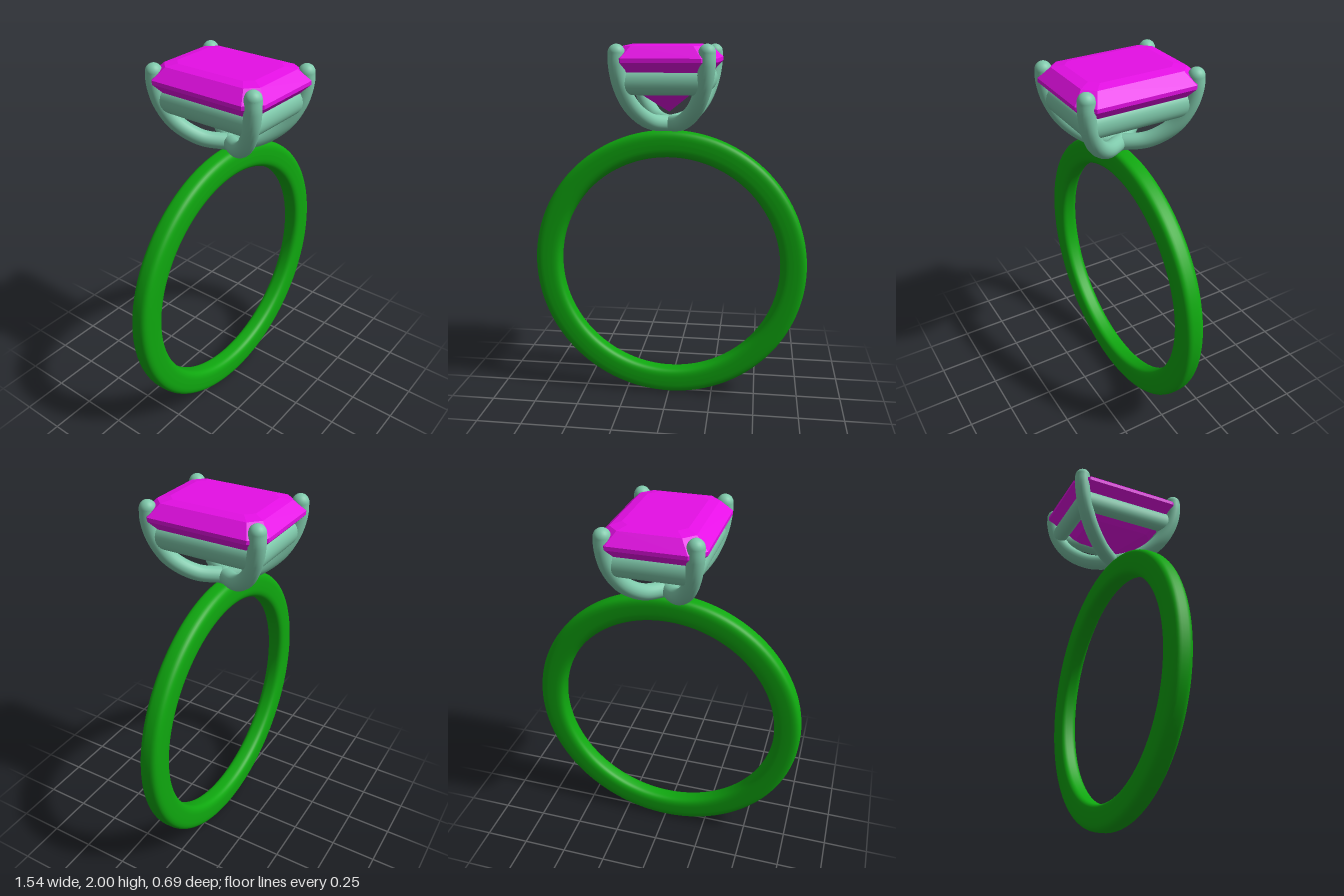
import * as THREE from 'three';

const bandMat = new THREE.MeshStandardMaterial({ color: 0x0fa80f });
const settingMat = new THREE.MeshStandardMaterial({ color: 0x7fc9ab });
const gemMat = new THREE.MeshStandardMaterial({ color: 0xe60fe6, flatShading: true });

function add(parent, name, geometry, material) {
  const mesh = new THREE.Mesh(geometry, material);
  mesh.name = name;
  parent.add(mesh);
  return mesh;
}

// Finger band: a rounded-rectangle section swept round the z axis
function makeBand() {
  const n = 40, profile = [];
  const soft = v => Math.sign(v) * Math.abs(v) ** 0.6;
  for (let i = 0; i <= n; i++) {
    const t = Math.PI / 2 + (i / n) * Math.PI * 2;
    profile.push(new THREE.Vector2(0.699 + 0.073 * soft(Math.cos(t)), 0.055 * soft(Math.sin(t))));
  }
  return new THREE.LatheGeometry(profile, 128).rotateX(Math.PI / 2).translate(0, 0.774, 0);
}

// Step-cut stone: stacked rectangles with cut corners [half x, half z, corner cut, y]
function makeGem() {
  const rings = [
    [0, 0, 0, 2.0],
    [0.16, 0.235, 0.04, 2.0],
    [0.21, 0.29, 0.055, 1.988],
    [0.272, 0.345, 0.075, 1.93],
    [0.272, 0.345, 0.075, 1.91],
    [0.235, 0.305, 0.055, 1.87],
    [0.13, 0.2, 0.04, 1.75],
    [0, 0, 0, 1.645],
  ];
  const pos = [], index = [];
  for (const [x, z, c, y] of rings) {
    const corners = [
      [x, z - c], [x - c, z], [c - x, z], [-x, z - c],
      [-x, c - z], [c - x, -z], [x - c, -z], [x, c - z],
    ];
    for (const [px, pz] of corners) pos.push(px, y, pz);
  }
  for (let r = 0; r < rings.length - 1; r++) {
    for (let i = 0; i < 8; i++) {
      const a = r * 8 + i, b = r * 8 + (i + 1) % 8;
      if (r > 0) index.push(a, b, a + 8);
      if (r < rings.length - 2) index.push(b, b + 8, a + 8);
      if (r === 0) index.push(a, b + 8, a + 8);
    }
  }
  const g = new THREE.BufferGeometry();
  g.setAttribute('position', new THREE.Float32BufferAttribute(pos, 3));
  g.setIndex(index);
  g.computeVertexNormals();
  return g;
}

export function createModel() {
  const model = new THREE.Group();
  model.name = 'ring';
  add(model, 'band', makeBand(), bandMat);
  add(model, 'gemstone', makeGem(), gemMat);

  const setting = new THREE.Group();
  setting.name = 'setting';
  model.add(setting);

  // Four prongs curving from the base out to the stone's corners [reach, y]
  const path = [[0, 1.582], [0.4, 1.607], [0.74, 1.69], [0.93, 1.8], [1, 1.9], [1, 1.957]];
  for (const sx of [-1, 1]) {
    for (const sz of [-1, 1]) {
      const curve = new THREE.CatmullRomCurve3(
        path.map(([f, y]) => new THREE.Vector3(sx * 0.223 * f, y, sz * 0.3 * f)));
      add(setting, 'prong', new THREE.TubeGeometry(curve, 40, 0.043, 20), settingMat);
      add(setting, 'prongTip', new THREE.SphereGeometry(0.043, 24, 16), settingMat)
        .position.set(sx * 0.223, 1.957, sz * 0.3);
    }
  }
  // Rounded base where the prongs meet
  add(setting, 'base', new THREE.SphereGeometry(0.048, 24, 16), settingMat).position.y = 1.582;

  // Basket rails linking the prongs under the stone
  const rail = length => new THREE.CylinderGeometry(1, 1, length, 28)
    .rotateZ(Math.PI / 2).scale(1, 0.0625, 0.042);
  for (const s of [-1, 1]) {
    add(setting, 'endRail', rail(0.41), settingMat).position.set(0, 1.813, s * 0.272);
    const side = add(setting, 'sideRail', rail(0.55), settingMat);
    side.rotation.y = Math.PI / 2;
    side.position.set(s * 0.2, 1.813, 0);
  }
  return model;
}
